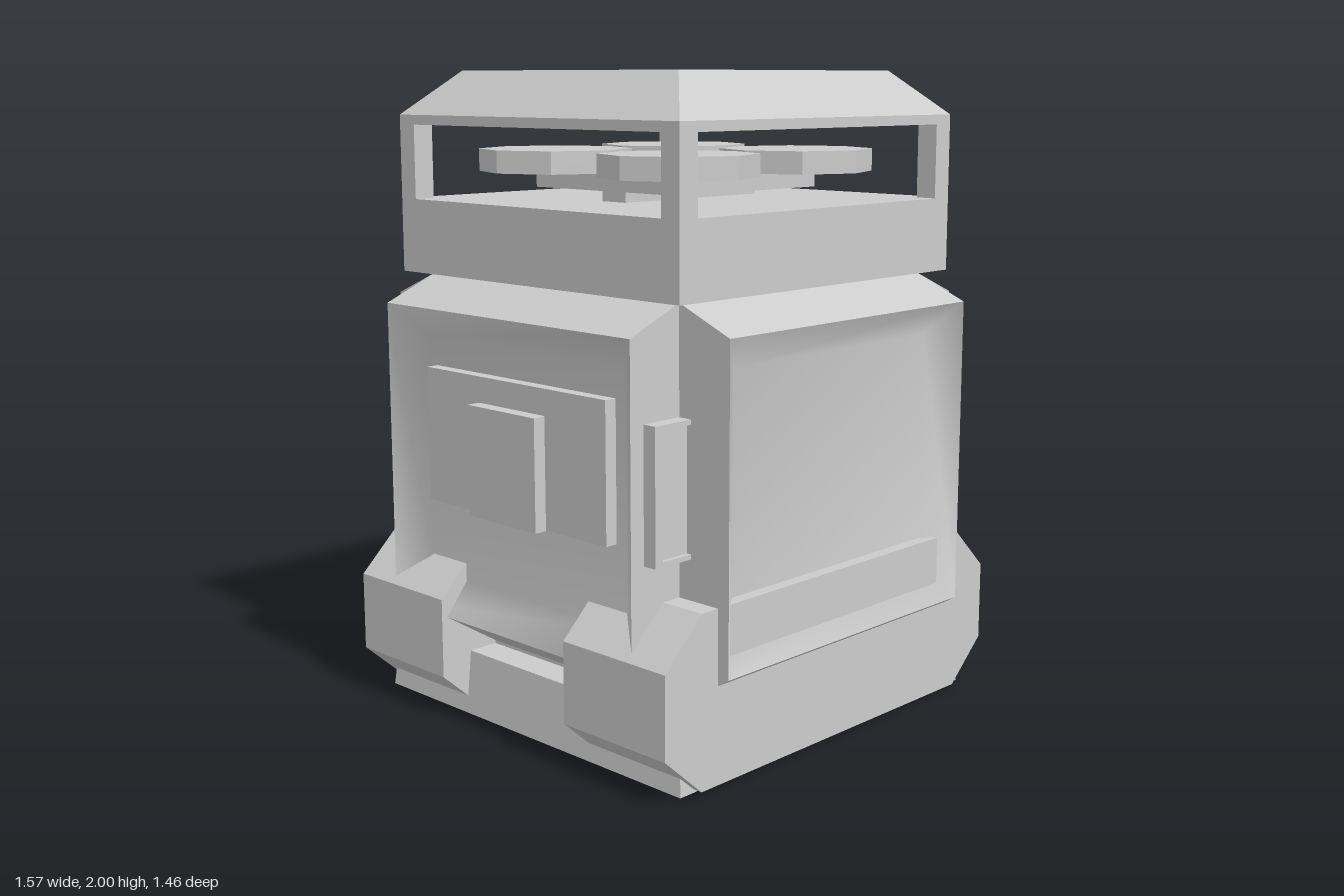
import * as THREE from 'three';

const grey = new THREE.MeshStandardMaterial({ color: 0xcccccc, flatShading: true });
const smooth = new THREE.MeshStandardMaterial({ color: 0xcccccc });

function add(parent, name, geometry, x = 0, y = 0, z = 0, material = grey) {
  const mesh = new THREE.Mesh(geometry, material);
  mesh.name = name;
  mesh.position.set(x, y, z);
  parent.add(mesh);
  return mesh;
}

// Box given by its limits on each axis
function box(parent, name, [x0, x1], [y0, y1], [z0, z1]) {
  return add(parent, name, new THREE.BoxGeometry(x1 - x0, y1 - y0, z1 - z0),
    (x0 + x1) / 2, (y0 + y1) / 2, (z0 + z1) / 2);
}

// Square block tapering from half width a (bottom) to b (top)
function frustum(parent, name, a, b, y0, y1) {
  const g = new THREE.CylinderGeometry(b * Math.SQRT2, a * Math.SQRT2, y1 - y0, 4);
  g.rotateY(Math.PI / 4);
  return add(parent, name, g, 0, (y0 + y1) / 2, 0);
}

function prism(points, depth) {
  const shape = new THREE.Shape(points.map(([x, y]) => new THREE.Vector2(x, y)));
  return new THREE.ExtrudeGeometry(shape, { depth, bevelEnabled: false });
}

// Skin of successive rectangles [halfWidth, y0, y1, z], optionally capped
function rectLoft(rings, cap) {
  const pos = [], index = [];
  for (const [h, y0, y1, z] of rings) pos.push(-h, y0, z, h, y0, z, h, y1, z, -h, y1, z);
  for (let r = 0; r < rings.length - 1; r++) {
    for (let i = 0; i < 4; i++) {
      const a = r * 4 + i, b = r * 4 + (i + 1) % 4;
      index.push(a, b, b + 4, a, b + 4, a + 4);
    }
  }
  if (cap) {
    const n = (rings.length - 1) * 4;
    index.push(n, n + 1, n + 2, n, n + 2, n + 3);
  }
  const g = new THREE.BufferGeometry();
  g.setAttribute('position', new THREE.Float32BufferAttribute(pos, 3));
  g.setIndex(index);
  g.computeVertexNormals();
  return g;
}

export function createModel() {
  const model = new THREE.Group();
  model.name = 'lanternCabinet';
  const body = new THREE.Group();
  body.name = 'body';
  body.position.x = -0.04;
  model.add(body);

  box(body, 'core', [-0.54, 0.54], [0.2, 1.38], [-0.54, 0.54]);

  // Four dished wall panels with sloping top and bottom edges
  const rim = [0.54, 0.33, 1.29, 0.73];
  for (let i = 0; i < 4; i++) {
    const panel = new THREE.Group();
    panel.name = 'wallPanel';
    panel.rotation.y = i * Math.PI / 2;
    body.add(panel);
    add(panel, 'panelFrame', rectLoft([[0.54, 0.21, 1.37, 0.54], rim], false));
    add(panel, 'panelDish', rectLoft([rim, [0.44, 0.43, 1.19, 0.65]], true), 0, 0, 0, smooth);
  }

  // Chamfered bumpers at the front and back of the base
  const bumper = [[-0.6, 0.01], [0.6, 0.01], [0.745, 0.14], [0.745, 0.39],
    [0.6, 0.53], [-0.6, 0.53], [-0.745, 0.39], [-0.745, 0.14]];
  for (const z of [0.28, -0.69]) add(body, 'baseBumper', prism(bumper, 0.41), -0.005, 0, z);
  frustum(body, 'baseSlab', 0.66, 0.64, 0, 0.2);

  // Lamp housing: sill, corner posts, lintel and tapered roof
  box(body, 'housingSill', [-0.61, 0.61], [1.375, 1.605], [-0.61, 0.61]);
  for (const sx of [-1, 1]) {
    for (const sz of [-1, 1]) {
      add(body, 'housingPost', new THREE.BoxGeometry(0.07, 0.235, 0.07), sx * 0.575, 1.72, sz * 0.575);
    }
  }
  box(body, 'housingLintel', [-0.61, 0.61], [1.835, 1.865], [-0.61, 0.61]);
  frustum(body, 'roof', 0.61, 0.47, 1.865, 2);

  // Four octagonal burners on a raised plate
  box(body, 'burnerPlate', [-0.31, 0.31], [1.64, 1.69], [-0.31, 0.31]);
  box(body, 'plateSupport', [-0.27, 0.32], [1.6, 1.64], [-0.05, 0.05]);
  for (const x of [-0.265, 0.265]) {
    for (const z of [-0.27, 0.27]) {
      add(body, 'burner', new THREE.CylinderGeometry(0.24, 0.24, 0.07, 8), x, 1.725, z);
    }
  }

  // Octagonal knob on the left wall
  const knob = new THREE.CylinderGeometry(0.19, 0.19, 0.2, 8);
  knob.rotateY(Math.PI / 8);
  knob.rotateZ(-Math.PI / 2);
  knob.scale(1, 1, 0.84);
  add(body, 'knob', knob, 0.72, 0.85, 0);

  // Right wall: backing plate with a faceted upright housing
  box(body, 'ventPlate', [-0.69, -0.6], [0.68, 1.1], [-0.4, 0.4]);
  const vent = prism([[-0.15, 0], [0.15, 0], [0.15, 0.04], [0.05, 0.1], [-0.05, 0.1], [-0.15, 0.04]], 0.34);
  vent.rotateX(-Math.PI / 2);
  vent.rotateY(Math.PI / 2);
  vent.scale(-1, 1, 1);
  // mirrored in x, so swap two corners of each triangle
  const p = vent.attributes.position;
  for (let i = 0; i < p.count; i += 3) {
    const a = new THREE.Vector3().fromBufferAttribute(p, i + 1);
    const b = new THREE.Vector3().fromBufferAttribute(p, i + 2);
    p.setXYZ(i + 1, b.x, b.y, b.z);
    p.setXYZ(i + 2, a.x, a.y, a.z);
  }
  vent.computeVertexNormals();
  vent.computeBoundingBox();
  add(body, 'ventHousing', vent, -0.735 - vent.boundingBox.min.x, 0.68, 0);

  // Framed handles in the two right-hand corners
  for (const s of [-1, 1]) {
    const handle = new THREE.Group();
    handle.name = 'cornerHandle';
    handle.position.z = s * 0.56;
    body.add(handle);
    box(handle, 'handlePlate', [-0.68, -0.54], [0.66, 1.04], [-0.02, 0.01]);
    box(handle, 'handleGrip', [-0.68, -0.65], [0.65, 1.05], [-0.02, 0.025]);
    for (const y of [0.65, 1.035]) box(handle, 'handleEnd', [-0.68, -0.54], [y, y + 0.015], [-0.02, 0.025]);
  }

  // Latch in the front left corner
  box(body, 'latchPlate', [0.54, 0.57], [0.92, 1.2], [0.53, 0.56]);
  box(body, 'latchUpper', [0.54, 0.61], [1.09, 1.16], [0.53, 0.57]);
  box(body, 'latchLower', [0.54, 0.6], [0.95, 1.05], [0.53, 0.575]);

  return model;
}
